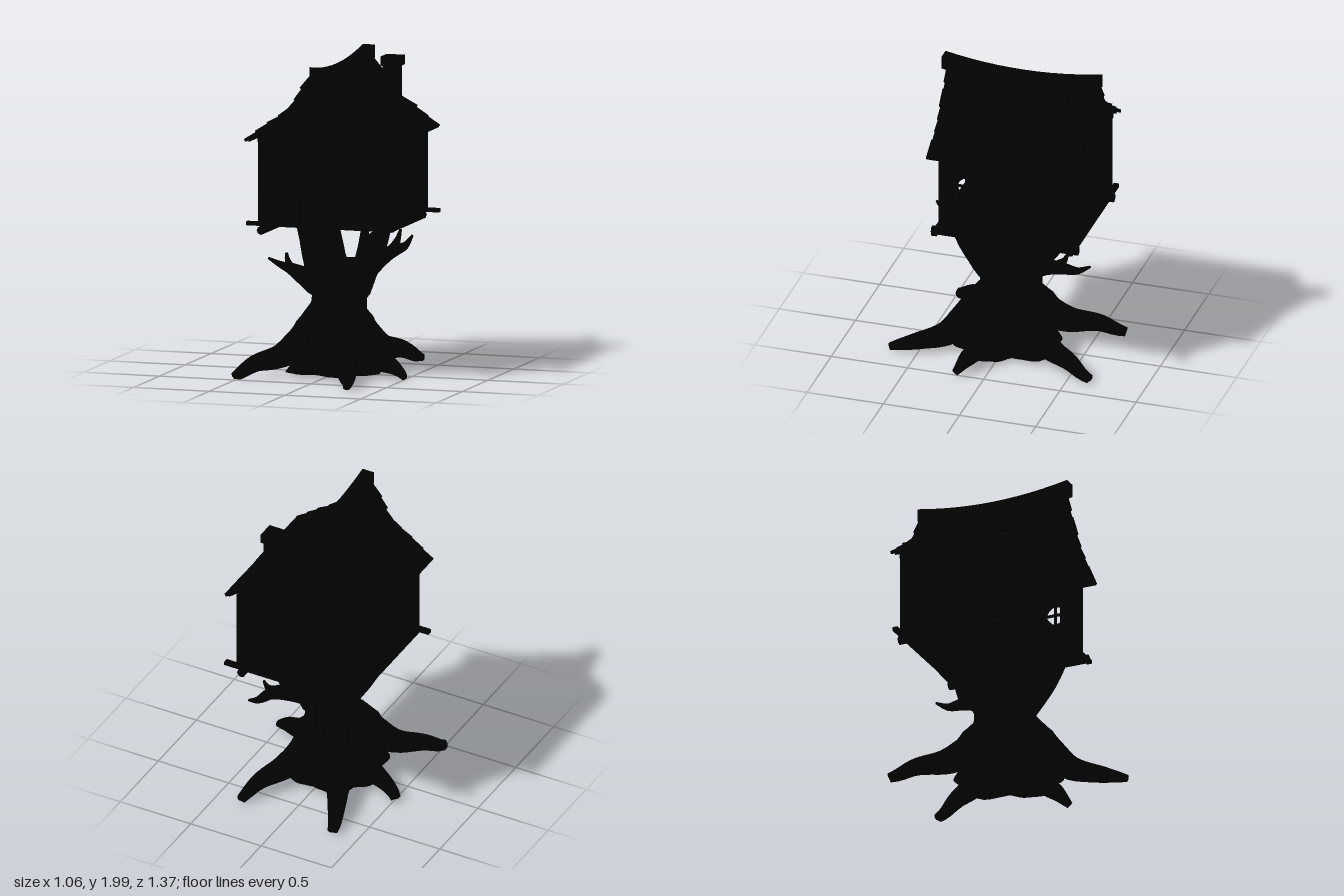
import * as THREE from 'three';

const mat = new THREE.MeshStandardMaterial({ color: 0x020202 });
const V = (x, y, z) => new THREE.Vector3(x, y, z);
let seed = 7;
const rnd = () => (seed = (seed * 16807) % 2147483647) / 2147483647;

function add(parent, name, geo, x = 0, y = 0, z = 0, rz = 0) {
  const m = new THREE.Mesh(geo, mat);
  m.name = name;
  m.position.set(x, y, z);
  m.rotation.z = rz;
  parent.add(m);
  return m;
}
const box = (p, name, w, h, d, x, y, z, rz) => add(p, name, new THREE.BoxGeometry(w, h, d), x, y, z, rz);

// Closed skin over a list of rings of points
function loft(rings) {
  const n = rings[0].length, pos = [], idx = [];
  rings.forEach(r => r.forEach(p => pos.push(p.x, p.y, p.z)));
  for (let i = 0; i < rings.length - 1; i++) for (let j = 0; j < n; j++) {
    const a = i * n + j, b = i * n + (j + 1) % n;
    idx.push(a, b, b + n, a, b + n, a + n);
  }
  [rings[0], rings[rings.length - 1]].forEach((r, e) => {
    const c = r.reduce((s, p) => s.add(p), V(0, 0, 0)).divideScalar(n);
    const k = pos.length / 3, o = e ? (rings.length - 1) * n : 0;
    pos.push(c.x, c.y, c.z);
    for (let j = 0; j < n; j++) {
      const a = o + j, b = o + (j + 1) % n;
      e ? idx.push(k, a, b) : idx.push(k, b, a);
    }
  });
  const g = new THREE.BufferGeometry();
  g.setAttribute('position', new THREE.Float32BufferAttribute(pos, 3));
  g.setIndex(idx);
  g.computeVertexNormals();
  return g;
}

// Tapering limb along a curve, with slight bark ridges
function limb(parent, name, pts, radii) {
  const curve = new THREE.CatmullRomCurve3(pts.map(p => V(...p)));
  const N = 20, S = 16, f = curve.computeFrenetFrames(N), rings = [];
  for (let i = 0; i <= N; i++) {
    const t = i / N, c = curve.getPointAt(t), q = t * (radii.length - 1), k = Math.min(Math.floor(q), radii.length - 2);
    const r = THREE.MathUtils.lerp(radii[k], radii[k + 1], q - k);
    rings.push(Array.from({ length: S }, (_, j) => {
      const a = j / S * Math.PI * 2, rr = r * (1 + 0.06 * Math.sin(a * 5 + i * 0.35));
      const p = c.clone().addScaledVector(f.normals[i], rr * Math.cos(a)).addScaledVector(f.binormals[i], rr * Math.sin(a));
      p.y = Math.max(p.y, 0.01);
      return p;
    }));
  }
  add(parent, name, loft(rings));
}

// Root tips: x, z, knee height, tip radius
const ROOTS = [[0.3, 0.68, 0.07, 0.024], [-0.505, 0.475, 0.095, 0.034], [-0.51, -0.175, 0.085, 0.032],
  [0.51, 0.185, 0.085, 0.022], [-0.33, -0.67, 0.1, 0.032], [0.335, -0.645, 0.1, 0.03]];

function buildTree(g) {
  // Trunk rings: y, half width x, half width z, centre x, centre z, flare towards roots
  const prof = [[0.03, 0.2, 0.22, 0, 0, 0.13], [0.08, 0.19, 0.22, 0, 0, 0.1], [0.15, 0.185, 0.22, 0, 0, 0.07], [0.22, 0.18, 0.22, 0.01, 0.01, 0.04], [0.32, 0.175, 0.215, 0.01, 0.01, 0.01],
    [0.42, 0.168, 0.2, 0.01, -0.02, 0], [0.52, 0.165, 0.185, 0.01, -0.035, 0], [0.6, 0.172, 0.185, 0.015, -0.05, 0], [0.67, 0.15, 0.165, 0.02, -0.07, 0], [0.715, 0.08, 0.09, 0.04, -0.1, 0]];
  add(g, 'trunk', loft(prof.map(([y, rx, rz, cx, cz, flare]) => Array.from({ length: 64 }, (_, j) => {
    const a = j / 64 * Math.PI * 2, k = 1 + 0.035 * Math.sin(a * 9 + y * 4) + 0.02 * Math.sin(a * 17 - y * 6);
    const near = Math.max(...ROOTS.map(([x, z]) => Math.cos(a - Math.atan2(-z, x))));
    const f = flare * Math.max(0, near) ** 5;
    return V(cx + (rx * k + f) * Math.cos(a), y, cz - (rz * k + f) * Math.sin(a));
  }))));
  // Roots drop steeply, arch over a knee and run out
  ROOTS.forEach(([x, z, knee, r]) =>
    limb(g, 'root', [[x * 0.16, 0.44, z * 0.16], [x * 0.33, 0.24, z * 0.32], [x * 0.56, 0.06 + knee * 0.8, z * 0.5], [x * 0.83, knee, z * 0.77], [x * 0.96, 0.048, z * 0.92], [x, 0.03, z]],
      [0.06, 0.1, 0.092, 0.07, 0.052, r]));
  // Branches holding up the house
  limb(g, 'branch', [[0.05, 0.36, 0], [0.11, 0.52, 0.03], [0.2, 0.66, 0.1], [0.245, 0.79, 0.18], [0.28, 0.98, 0.28]], [0.06, 0.09, 0.068, 0.047, 0.022]);
  limb(g, 'branch', [[0, 0.36, 0], [-0.03, 0.52, 0], [-0.07, 0.67, 0.03], [-0.11, 0.8, 0.07], [-0.17, 0.98, 0.13]], [0.07, 0.12, 0.115, 0.088, 0.055]);
  limb(g, 'branch', [[0.04, 0.36, -0.04], [0.08, 0.52, -0.1], [0.13, 0.68, -0.2], [0.165, 0.8, -0.32], [0.19, 0.98, -0.48]], [0.06, 0.1, 0.08, 0.055, 0.025]);
  limb(g, 'branch', [[-0.02, 0.36, -0.04], [-0.05, 0.52, -0.1], [-0.1, 0.68, -0.2], [-0.155, 0.8, -0.34], [-0.215, 0.98, -0.51]], [0.06, 0.105, 0.09, 0.063, 0.03]);
  // Free branches with twigs
  limb(g, 'sideBranch', [[-0.04, 0.53, 0.02], [-0.12, 0.63, 0.2], [-0.17, 0.71, 0.37], [-0.21, 0.75, 0.47], [-0.26, 0.8, 0.55]], [0.08, 0.075, 0.05, 0.028, 0.008]);
  limb(g, 'twig', [[-0.17, 0.7, 0.36], [-0.19, 0.76, 0.385], [-0.205, 0.81, 0.37]], [0.03, 0.02, 0.009]);
  limb(g, 'sideBranch', [[0.07, 0.55, -0.08], [0.17, 0.68, -0.28], [0.24, 0.735, -0.42], [0.27, 0.75, -0.54], [0.285, 0.8, -0.63]], [0.09, 0.065, 0.048, 0.032, 0.008]);
  limb(g, 'twig', [[0.23, 0.74, -0.4], [0.25, 0.8, -0.45], [0.26, 0.86, -0.48]], [0.035, 0.02, 0.008]);
}

// Wall panel with rectangular doors [u0,u1,y0,y1] and round windows [u,y,r]
function wall(outline, doors, windows) {
  const s = new THREE.Shape(outline.map(p => new THREE.Vector2(...p)));
  doors.forEach(([a, b, c, d]) => s.holes.push(new THREE.Path([[a, c], [a, d], [b, d], [b, c]].map(p => new THREE.Vector2(...p)))));
  windows.forEach(([u, y, r]) => s.holes.push(new THREE.Path().absarc(u, y, r, 0, Math.PI * 2, true)));
  return new THREE.ExtrudeGeometry(s, { depth: 0.02, bevelEnabled: false, curveSegments: 10 });
}

// Wall with planks, door frame and window trim on its outer face
function dressedWall(name, outline, doors, windows, u0, u1) {
  const g = new THREE.Group();
  g.name = name;
  add(g, 'wallPanel', wall(outline, doors, windows));
  const n = Math.round((u1 - u0) / 0.08), w = (u1 - u0) / n;
  for (let i = 0; i < n; i++) {
    const u = u0 + (i + 0.5) * w, t = 0.004 + rnd() * 0.003;
    const blocked = doors.some(d => u + w / 2 > d[0] && u - w / 2 < d[1]) ||
      windows.some(v => v[1] < 1.5 && Math.abs(u - v[0]) < v[2] + w / 2);
    if (!blocked) box(g, 'plank', w - 0.002, 0.51, t, u, 1.235, 0.02 + t / 2);
  }
  doors.forEach(([a, b, c, d]) => {
    [a, b].forEach(u => box(g, 'doorPost', 0.025, d - c, 0.033, u, (c + d) / 2, 0.012));
    box(g, 'doorLintel', b - a + 0.04, 0.025, 0.035, (a + b) / 2, d, 0.012);
  });
  windows.forEach(([u, y, r]) => {
    add(g, 'windowRing', new THREE.TorusGeometry(r, 0.011, 6, 16), u, y, 0.017);
    box(g, 'windowBar', r * 2, 0.014, 0.014, u, y, 0.012);
    box(g, 'windowBar', 0.014, r * 2, 0.014, u, y, 0.012);
  });
  return g;
}

const ROOF = [[0.46, 1.508], [0.385, 1.565], [0.31, 1.622], [0.235, 1.67], [0.175, 1.723], [0.125, 1.792], [0.085, 1.857], [0.03, 1.935]];
const sag = (z, h) => 0.05 * h * (((z + 0.095) / 0.5) ** 2 - 0.6);

function buildHouse(g) {
  // Floor on beams and logs
  box(g, 'floor', 0.82, 0.015, 0.88, 0, 0.978, -0.12);
  [0.33, -0.56].forEach(z => box(g, 'crossBeam', 0.97, 0.024, 0.035, 0.005, 0.98, z));
  [-0.37, 0.37].forEach(x => {
    const log = add(g, 'floorLog', new THREE.CylinderGeometry(0.028, 0.028, 0.96, 8), x, 0.945, -0.1);
    log.rotation.x = Math.PI / 2;
  });
  // Gable ends follow the curve of the roof
  const half = ROOF.slice(1).map(([x, y]) => [x, y - 0.015]);
  const gable = [[-0.4, 0.97], [0.4, 0.97], [0.405, 1.53], ...half, ...half.slice().reverse().map(([x, y]) => [-x, y]), [-0.405, 1.53]];
  const front = dressedWall('frontWall', gable, [[-0.15, 0.15, 0.985, 1.38]], [[0, 1.66, 0.07]], -0.4, 0.4);
  front.position.z = 0.295;
  const back = dressedWall('backWall', gable, [], [], -0.4, 0.4);
  back.rotation.y = Math.PI;
  back.position.z = -0.53;
  // Long sides
  const rect = (a, b) => [[a, 0.97], [b, 0.97], [b, 1.53], [a, 1.53]];
  const left = dressedWall('leftWall', rect(-0.31, 0.545), [[0.0, 0.19, 0.985, 1.37]], [[-0.14, 1.3, 0.07], [0.34, 1.3, 0.07]], -0.31, 0.545);
  left.rotation.y = Math.PI / 2;
  left.position.x = 0.383;
  const right = dressedWall('rightWall', rect(-0.545, 0.31), [], [], -0.545, 0.31);
  right.rotation.y = -Math.PI / 2;
  right.position.x = -0.383;
  g.add(front, back, left, right);
  [-0.393, 0.395].forEach(x => [0.305, -0.54].forEach(z => box(g, 'cornerPost', 0.035, 0.54, 0.035, x, 1.245, z)));
  [0.315, -0.552].forEach(z => box(g, 'gableBeam', 0.82, 0.03, 0.02, 0, 1.51, z));

  // Roof: closed deck under stepped rows of uneven planks
  const roof = new THREE.Group();
  roof.name = 'roof';
  [-1, 1].forEach(s => {
    const deck = new THREE.Shape([...ROOF.map(([x, y]) => [s * x, y - 0.012]), ...ROOF.slice().reverse().map(([x, y]) => [s * x, y - 0.004])].map(p => new THREE.Vector2(...p)));
    const deckGeo = new THREE.ExtrudeGeometry(deck, { depth: 0.93, steps: 8, bevelEnabled: false }), dp = deckGeo.attributes.position;
    for (let i = 0; i < dp.count; i++) dp.setY(i, dp.getY(i) + sag(dp.getZ(i) - 0.57, Math.max(0, (dp.getY(i) - 1.5) / 0.43)));
    deckGeo.computeVertexNormals();
    add(roof, 'roofDeck', deckGeo, 0, 0, -0.57);
    for (let k = 0; k < ROOF.length - 1; k++) {
      const [x0, y0] = ROOF[k], [x1, y1] = ROOF[k + 1];
      const ang = Math.atan2(y1 - y0, x1 - x0), len = Math.hypot(x1 - x0, y1 - y0);
      let z = -0.592 + rnd() * 0.02;
      const end = 0.372 + rnd() * 0.02;
      while (z < end - 0.01) {
        let w = 0.14 + rnd() * 0.12;
        if (end - z - w < 0.08) w = end - z;
        const L = len + 0.03 + rnd() * 0.012, zc = z + w / 2;
        box(roof, 'shingle', L, 0.02, w - 0.003, s * ((x0 + x1) / 2 + 0.003), (y0 + y1) / 2 + sag(zc, k / 7) + 0.004 + rnd() * 0.004, zc, s * (ang + 0.09));
        z += w;
      }
    }
  });
  // Sagging ridge beam
  const ridge = new THREE.BoxGeometry(0.08, 0.085, 1.03, 1, 1, 12), p = ridge.attributes.position;
  for (let i = 0; i < p.count; i++) p.setY(i, p.getY(i) + 0.05 * (p.getZ(i) / 0.515) ** 2);
  ridge.computeVertexNormals();
  add(roof, 'ridgeBeam', ridge, 0.005, 1.907, -0.095);
  g.add(roof);

  // Chimney with hollow cap
  box(g, 'chimney', 0.095, 0.37, 0.1, 0.228, 1.735, -0.41);
  const sq = r => [[-r, -r], [r, -r], [r, r], [-r, r]].map(q => new THREE.Vector2(...q));
  const cap = new THREE.Shape(sq(0.06));
  cap.holes.push(new THREE.Path(sq(0.042).reverse()));
  add(g, 'chimneyCap', new THREE.ExtrudeGeometry(cap, { depth: 0.06, bevelEnabled: false }), 0.23, 1.907, -0.41).rotation.x = -Math.PI / 2;
}

export function createModel() {
  seed = 7;
  const model = new THREE.Group(), tree = new THREE.Group(), house = new THREE.Group();
  model.name = 'treeHouse';
  tree.name = 'tree';
  house.name = 'house';
  buildTree(tree);
  buildHouse(house);
  model.add(tree, house);
  return model;
}
